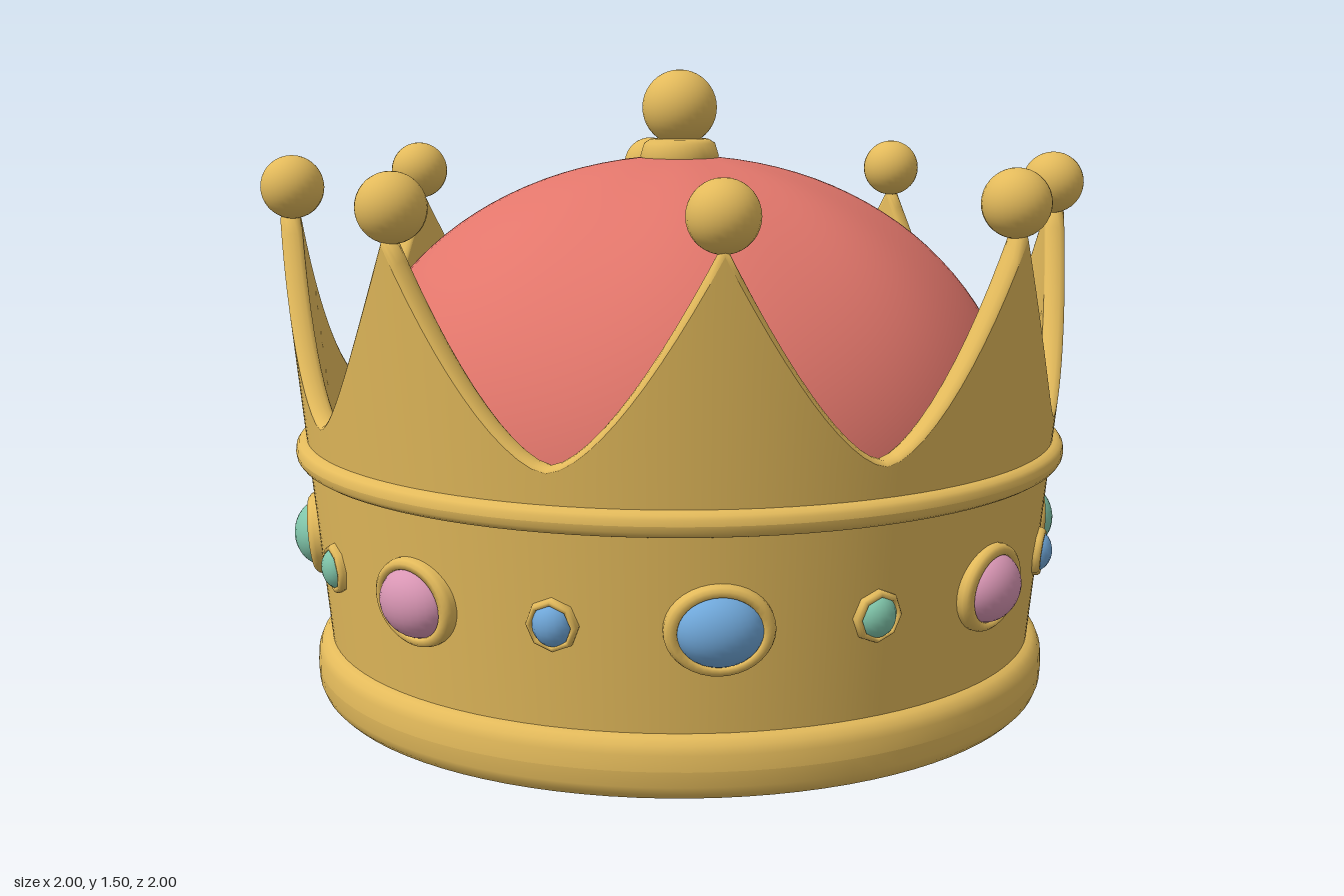
import * as THREE from 'three';

const mat = (name, color) => {
  const m = new THREE.MeshStandardMaterial({ color });
  m.name = name;
  return m;
};

// Grid closed around the y axis; fn(angle, v) -> [radius, y]
function ringGrid(nu, nv, fn) {
  const pos = [], idx = [];
  for (let j = 0; j <= nv; j++) {
    for (let i = 0; i < nu; i++) {
      const a = (i / nu) * Math.PI * 2;
      const [r, y] = fn(a, j / nv);
      pos.push(Math.sin(a) * r, y, Math.cos(a) * r);
    }
  }
  for (let j = 0; j < nv; j++) {
    for (let i = 0; i < nu; i++) {
      const k = (i + 1) % nu;
      const a = j * nu + i, b = j * nu + k, c = b + nu, d = a + nu;
      idx.push(a, b, c, a, c, d);
    }
  }
  const g = new THREE.BufferGeometry();
  g.setAttribute('position', new THREE.Float32BufferAttribute(pos, 3));
  g.setIndex(idx);
  g.computeVertexNormals();
  return g;
}

const lathe = (pts, seg = 96) =>
  new THREE.LatheGeometry(pts.map(([x, y]) => new THREE.Vector2(x, y)), seg);

// Full ring with a softly squared section
function roundedRing(radius, y, halfWidth, halfHeight, power) {
  const soft = s => Math.sign(s) * Math.pow(Math.abs(s), 2 / power);
  const pts = [];
  for (let i = 0; i <= 20; i++) {
    const a = (i % 20) * Math.PI / 10;
    pts.push([radius + halfWidth * soft(Math.cos(a)), y + halfHeight * soft(Math.sin(a))]);
  }
  return lathe(pts);
}

// Domed setting around a gem, facing +z
const bezel = (r, depth, seg, squash) => lathe([
  [r, -0.02], [r, depth * 0.3], [r * 0.97, depth * 0.7], [r * 0.9, depth], [r * 0.78, depth], [r * 0.7, 0],
], seg).rotateX(Math.PI / 2).scale(1, squash, 1);

export function createModel() {
  const gold = mat('gold', 0xe3ba5b);
  const red = mat('red velvet', 0xe2766b);
  const blue = mat('blue gem', 0x70a8da);
  const green = mat('green gem', 0x80c5aa);
  const pink = mat('pink gem', 0xd996b4);

  const crown = new THREE.Group();
  crown.name = 'crown';
  const add = (name, geo, material, parent = crown) => {
    const m = new THREE.Mesh(geo, material);
    m.name = name;
    parent.add(m);
    return m;
  };

  // Flared wall with eight concave points and a rounded upper edge
  const SLOPE = 0.097, THICK = 0.05, BOTTOM = 0.08;
  const RISE = 0.46, POWER = 1.55, BEVEL = 0.012;
  const outerR = y => 0.845 + SLOPE * y;
  const climb = a => 1 - Math.abs(((a / (Math.PI / 4) + 0.5) % 1) - 0.5) * 2; // 1 at tip, 0 in valley
  const topY = a => 0.71 + RISE * Math.pow(climb(a), POWER);
  const bevelDrop = a => {
    const steepness = RISE * POWER * Math.pow(climb(a), POWER - 1) / 0.36;
    return BEVEL * Math.hypot(1, steepness);
  };
  const shoulderY = a => topY(a) - bevelDrop(a);
  const wallY = (a, v) => BOTTOM + (shoulderY(a) - BOTTOM) * v;
  add('wallOutside', ringGrid(192, 10, (a, v) => {
    const y = wallY(a, v);
    return [outerR(y), y];
  }), gold);
  add('wallEdge', ringGrid(192, 6, (a, v) => {
    const y = shoulderY(a);
    return [
      outerR(y) - THICK / 2 * (1 - Math.cos(Math.PI * v)),
      y + bevelDrop(a) * Math.sin(Math.PI * v),
    ];
  }), gold);
  add('wallInside', ringGrid(192, 10, (a, v) => {
    const y = wallY(a, 1 - v);
    return [outerR(y) - THICK, y];
  }), gold);

  // Base ring, and the narrow trim ring below the points
  add('baseRing', roundedRing(0.82, 0.075, 0.075, 0.075, 3), gold);
  add('trimRing', roundedRing(0.882, 0.603, 0.05, 0.031, 2.6), gold);

  // Softly lobed cushion and its flat underside
  const FLOOR = 0.135;
  add('cushion', ringGrid(96, 28, (a, v) => {
    if (v === 0) return [0.79, FLOOR];
    const p = ((v * 28 - 1) / 27) * Math.PI / 2;
    const puff = 0.004 * Math.cos(8 * a) * Math.pow(Math.sin(2 * p), 2);
    return [0.83 * Math.cos(p) * (1 + puff), 0.58 + 0.71 * Math.sin(p) * (1 + puff)];
  }), red);
  const underside = add('cushionUnderside', new THREE.CircleGeometry(0.79, 64), red);
  underside.rotation.x = Math.PI / 2;
  underside.position.y = FLOOR;

  // Finial on top
  add('finialCollar', lathe([
    [0.07, 1.25], [0.088, 1.27], [0.095, 1.29], [0.086, 1.32], [0.07, 1.33], [0, 1.335],
  ], 32), gold);
  add('finialBall', new THREE.SphereGeometry(0.09, 32, 20), gold).position.y = 1.405;

  // Balls on the points
  const ballGeo = new THREE.SphereGeometry(0.075, 28, 18);
  for (let i = 0; i < 8; i++) {
    const a = i * Math.PI / 4;
    add('pointBall', ballGeo, gold).position.set(0.925 * Math.sin(a), 1.22, 0.925 * Math.cos(a));
  }

  // Set gems: large ovals under the points, small ones between
  const bigGem = new THREE.SphereGeometry(1, 28, 18).scale(0.093, 0.079, 0.066);
  const bigBezel = bezel(0.116, 0.022, 36, 0.86);
  const smallGem = new THREE.SphereGeometry(1, 16, 12).scale(0.044, 0.048, 0.037);
  const smallBezel = bezel(0.058, 0.016, 8, 1.02);
  const bigColors = [blue, pink, green, pink];
  const GEM_Y = 0.375;
  for (let i = 0; i < 16; i++) {
    const big = i % 2 === 0;
    const pivot = new THREE.Group();
    pivot.name = big ? 'largeGemSetting' : 'smallGemSetting';
    pivot.rotation.y = i * Math.PI / 8;
    const seat = new THREE.Group();
    seat.name = 'gemSeat';
    seat.position.set(0, GEM_Y, outerR(GEM_Y));
    seat.rotation.x = SLOPE;
    const color = big ? bigColors[(i / 2) % 4] : (i % 4 === 1 ? green : blue);
    add('bezel', big ? bigBezel : smallBezel, gold, seat);
    add('gem', big ? bigGem : smallGem, color, seat);
    pivot.add(seat);
    crown.add(pivot);
  }

  return crown;
}
